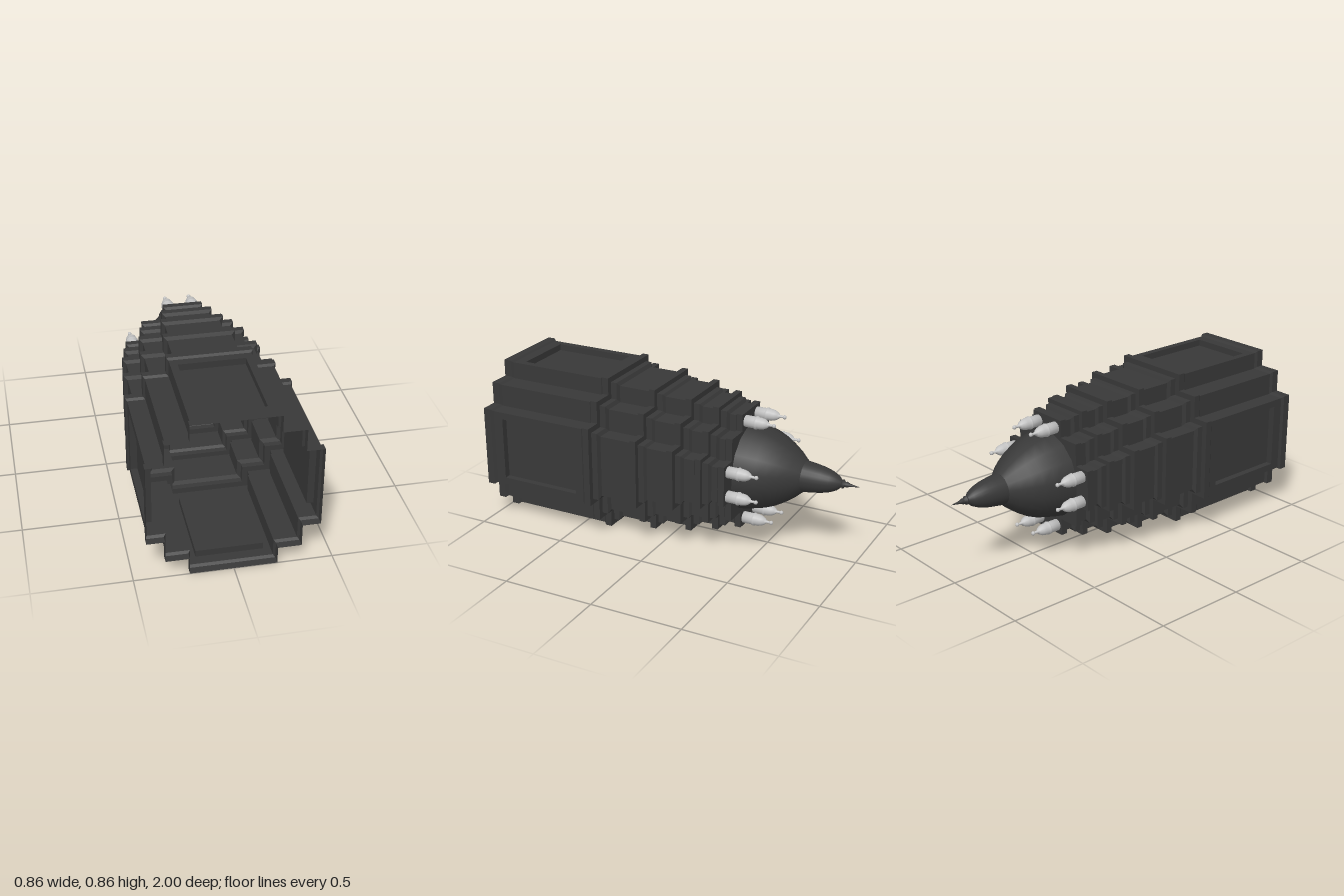
import * as THREE from 'three';

const CY = 0.433; // height of the long axis

// stepped cross outline, inset by d on every side
function outline(d) {
  const q = [[0.432, 0.22], [0.34, 0.22], [0.34, 0.34], [0.22, 0.34], [0.22, 0.432]]
    .map(([x, y]) => [x - d, y - d]);
  const pts = [];
  for (let k = 0; k < 4; k++) {
    for (const [x, y] of q) {
      pts.push([[x, y], [-y, x], [-x, -y], [y, -x]][k]);
    }
  }
  return pts;
}

// flat shaded geometry from a list of four-cornered faces
function quads(list) {
  const pos = [];
  for (const [a, b, c, d] of list) pos.push(...a, ...b, ...c, ...a, ...c, ...d);
  const g = new THREE.BufferGeometry();
  g.setAttribute('position', new THREE.Float32BufferAttribute(pos, 3));
  g.computeVertexNormals();
  return g;
}

// walls through [z, inset] stations; skipArms leaves out the four broad faces
function walls(profile, skipArms = false) {
  const list = [];
  for (let s = 0; s + 1 < profile.length; s++) {
    const [z0, d0] = profile[s], [z1, d1] = profile[s + 1];
    const A = outline(d0), B = outline(d1);
    for (let i = 0; i < 20; i++) {
      if (skipArms && i % 5 === 4) continue;
      const j = (i + 1) % 20;
      list.push([[...B[i], z1], [...B[j], z1], [...A[j], z0], [...A[i], z0]]);
    }
  }
  return quads(list);
}

// broad face on the top side with a sunken panel
function panelFace(d, zFront, zBack) {
  const w = 0.22 - d, y = 0.432 - d, deep = y - 0.035;
  const rect = (hw, yy, zf, zb) => [[-hw, yy, zf], [hw, yy, zf], [hw, yy, zb], [-hw, yy, zb]];
  const outer = rect(w, y, zFront, zBack);
  const rim = rect(0.172, y, 0.89, 0.437);
  const floor = rect(0.172, deep, 0.89, 0.437);
  const list = [floor];
  for (let i = 0; i < 4; i++) {
    const j = (i + 1) % 4;
    list.push([outer[i], outer[j], rim[j], rim[i]], [rim[i], rim[j], floor[j], floor[i]]);
  }
  return quads(list);
}

// smooth turned shape along -z from [radius, z] points
function turned(points, sides, phase = 0) {
  const g = new THREE.LatheGeometry(points.map(([r, z]) => new THREE.Vector2(r, -z)), sides, phase);
  return g.rotateX(-Math.PI / 2);
}

export function createModel() {
  const model = new THREE.Group();
  const body = new THREE.Group();
  body.name = 'tower';
  body.position.y = CY;
  model.add(body);

  const stone = new THREE.MeshStandardMaterial({ color: 0x383838, side: THREE.DoubleSide });
  stone.name = 'dark stone';
  const pale = new THREE.MeshStandardMaterial({ color: 0xc2c2c2, side: THREE.DoubleSide });
  pale.name = 'pale stone';

  const add = (name, geometry, material = stone, parent = body) => {
    const m = new THREE.Mesh(geometry, material);
    m.name = name;
    parent.add(m);
    return m;
  };

  // base storey with four sunken panels
  add('baseFoot', walls([[1, 0], [0.958, 0], [0.945, 0.01]]));
  add('baseWalls', walls([[0.945, 0.01], [0.39, 0.01]], true));
  for (let k = 0; k < 4; k++) {
    add('basePanel', panelFace(0.01, 0.945, 0.39)).rotation.z = k * Math.PI / 2;
  }
  add('baseCornice', walls([[0.39, 0.01], [0.378, 0], [0.342, 0], [0.342, 0.03]]));

  // shrinking tiers: start, foot inset, wall inset, cornice inset, end
  const tiers = [
    [0.342, 0.03, 0.05, 0.031, 0.08],
    [0.08, 0.058, 0.072, 0.055, -0.122],
    [-0.122, 0.085, 0.1, 0.083, -0.268],
    [-0.268, 0.105, 0.124, 0.111, -0.388],
  ];
  tiers.forEach(([z0, foot, wall, top, z1], i) => {
    const next = i < 3 ? tiers[i + 1][1] : top;
    add('tier', walls([
      [z0, foot], [z0 - 0.033, foot], [z0 - 0.043, wall],
      [z1 + 0.043, wall], [z1 + 0.034, top], [z1, top], [z1, next],
    ]));
  });

  // terrace around the dome
  const terrace = new THREE.Shape(outline(0.111).map(([x, y]) => new THREE.Vector2(x, y)));
  const ring = [];
  for (let i = 0; i < 16; i++) {
    const a = (i + 0.5) * Math.PI / 8;
    ring.push(new THREE.Vector2(0.237 * Math.cos(a), 0.237 * Math.sin(a)));
  }
  terrace.holes.push(new THREE.Path(ring));
  const cap = new THREE.ShapeGeometry(terrace).rotateY(Math.PI);
  add('terrace', cap).position.z = -0.388;

  // dome, bell and spire
  add('dome', turned([[0.237, -0.388], [0.228, -0.44], [0.212, -0.5], [0.189, -0.555],
    [0.16, -0.605], [0.125, -0.655], [0.083, -0.702]], 16, Math.PI / 16));
  add('bell', turned([[0.083, -0.702], [0.077, -0.75], [0.069, -0.8], [0.056, -0.845],
    [0.039, -0.88], [0.016, -0.905]], 24));
  add('spire', turned([[0.014, -0.897], [0.023, -0.906], [0.023, -0.912], [0.013, -0.921],
    [0.016, -0.928], [0.009, -0.945], [0.004, -0.975], [0, -1]], 12));

  // eight small shrines in pairs on the terrace arms
  const shrine = turned([[0, -0.388], [0.031, -0.388], [0.031, -0.443], [0.035, -0.446],
    [0.035, -0.455], [0.031, -0.458], [0.031, -0.475], [0.027, -0.493], [0.018, -0.51],
    [0.008, -0.519], [0.006, -0.54]], 14);
  const knob = new THREE.SphereGeometry(0.011, 10, 8).translate(0, 0, -0.546);
  for (let k = 0; k < 4; k++) {
    for (const s of [-1, 1]) {
      const g = new THREE.Group();
      g.name = 'smallShrine';
      const a = k * Math.PI / 2, c = Math.cos(a), n = Math.sin(a);
      g.position.set(c * 0.275 - n * s * 0.068, n * 0.275 + c * s * 0.068, 0);
      add('shrineBody', shrine, pale, g);
      add('shrineKnob', knob, pale, g);
      body.add(g);
    }
  }
  return model;
}
